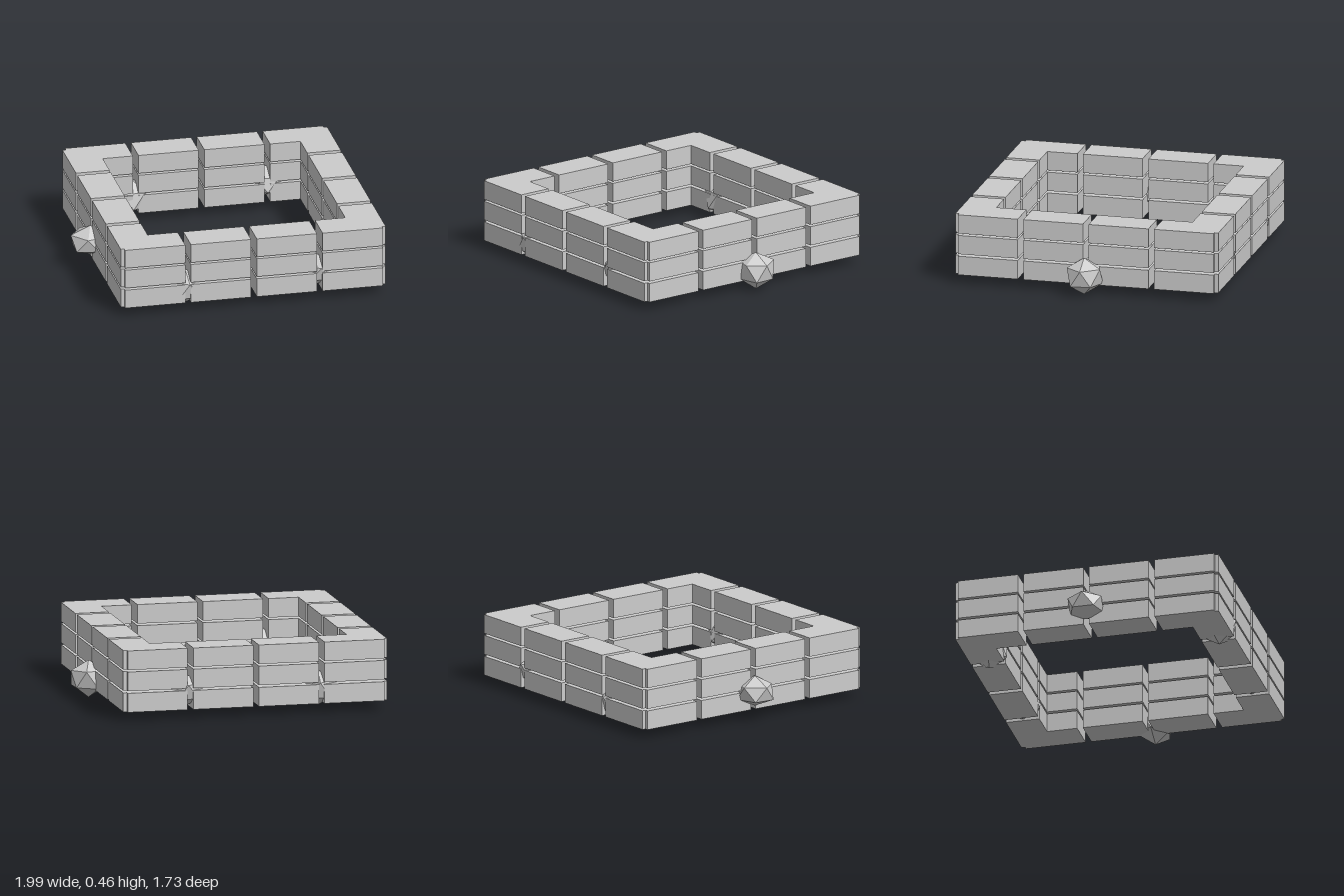
import * as THREE from 'three';

const grey = new THREE.MeshStandardMaterial({ color: 0xcccccc });
const stoneGrey = new THREE.MeshStandardMaterial({ color: 0xcccccc, flatShading: true });

const LENGTH = 0.39, HEIGHT = 0.123, DEPTH = 0.218;
const STEP = 0.427;                 // block spacing along a wall
const LAYERS = [0.117, 0.254, 0.39]; // centre height of each course

// One straight wall of four blocks per course, running along x or z
function wall(name, alongX, start, offset) {
  const group = new THREE.Group();
  group.name = name;
  const geometry = alongX
    ? new THREE.BoxGeometry(LENGTH, HEIGHT, DEPTH)
    : new THREE.BoxGeometry(DEPTH, HEIGHT, LENGTH);
  for (const y of LAYERS) {
    for (let i = 0; i < 4; i++) {
      const along = start + i * STEP;
      const block = new THREE.Mesh(geometry, grey);
      block.name = 'block';
      block.position.set(alongX ? along : offset, y, alongX ? offset : along);
      group.add(block);
    }
  }
  return group;
}

// Rough twenty-sided stone standing on a point, corners nudged by a rule
function stone(name, x, y, z, halfHeight, yaw, seed) {
  const geometry = new THREE.IcosahedronGeometry(1, 0);
  geometry.rotateZ(Math.atan(2 / (1 + Math.sqrt(5))));
  const p = geometry.attributes.position;
  const v = new THREE.Vector3();
  for (let i = 0; i < p.count; i++) {
    v.fromBufferAttribute(p, i);
    v.multiplyScalar(1 + 0.05 * Math.sin(7 * v.x + 11 * v.y + 5 * v.z + seed));
    p.setXYZ(i, v.x, v.y, v.z);
  }
  geometry.rotateY(yaw);
  geometry.scale(0.135, halfHeight, 0.128);
  geometry.computeVertexNormals();
  const mesh = new THREE.Mesh(geometry, stoneGrey);
  mesh.name = name;
  mesh.position.set(x, y, z);
  return mesh;
}

export function createModel() {
  const model = new THREE.Group();
  model.name = 'blockEnclosure';

  // Four walls overlapping at the corners
  model.add(
    wall('frontWall', true, -0.65, 0.745),
    wall('backWall', true, -0.65, -0.756),
    wall('leftWall', false, -0.646, 0.741),
    wall('rightWall', false, -0.646, -0.759),
  );

  // Six stones wedged into the walls, alternating low and high
  model.add(
    stone('leftStone', 0.872, 0.122, 0, 0.12, Math.PI, 0),
    stone('backLeftStone', 0.425, 0.165, -0.753, 0.102, 0.9, 1),
    stone('backRightStone', -0.44, 0.137, -0.75, 0.112, 2.1, 2),
    stone('rightStone', -0.878, 0.176, 0, 0.098, 0, 3),
    stone('frontRightStone', -0.435, 0.13, 0.752, 0.114, 0.4, 4),
    stone('frontLeftStone', 0.425, 0.165, 0.742, 0.102, 1.6, 5),
  );
  return model;
}
